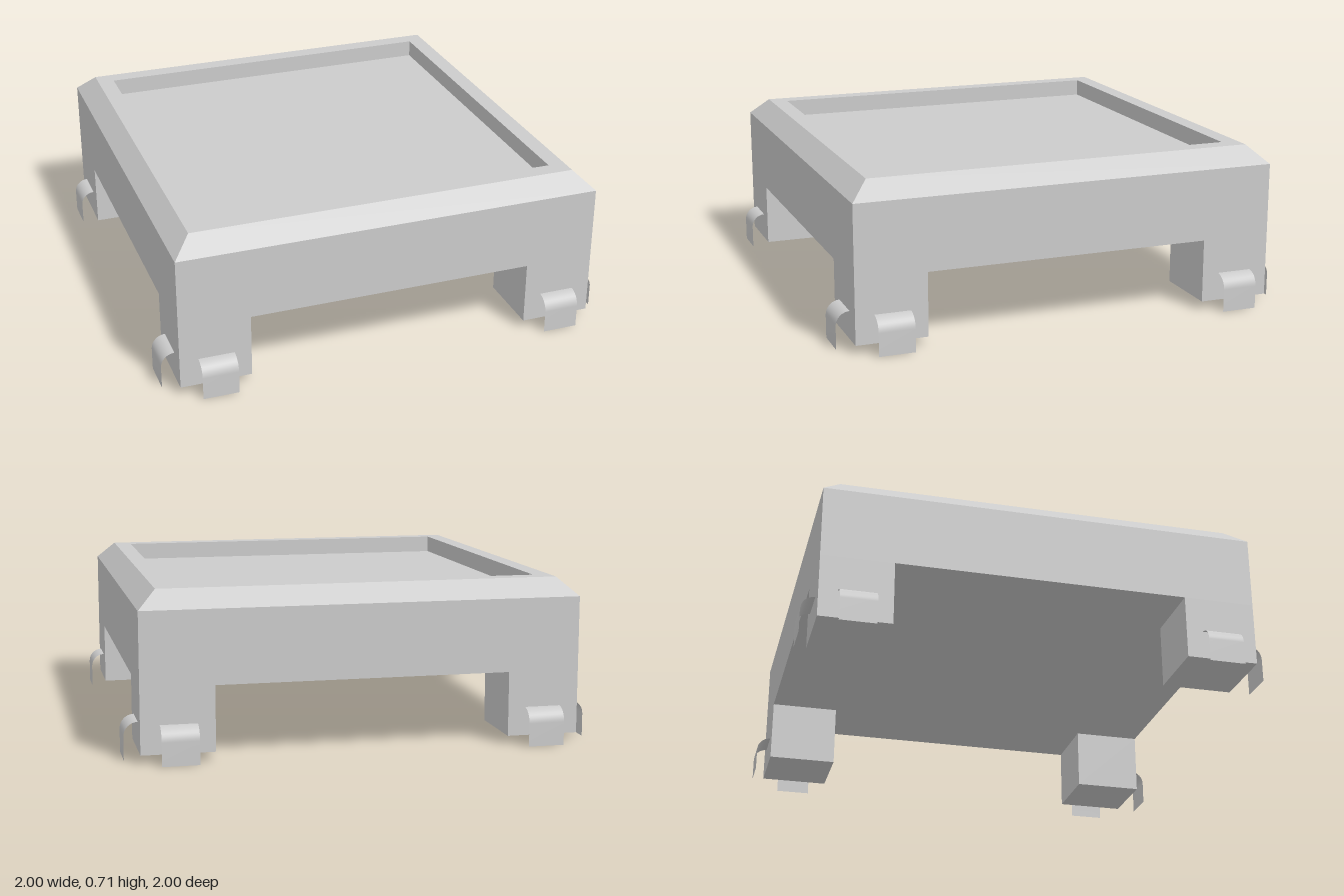
import * as THREE from 'three';

const HALF = 0.94;      // half width of the body
const UNDER = 0.315;    // underside height
const FOOT = 0.31;      // foot width
const FOOT_Y = 0.037;   // foot bottom height

const grey = new THREE.MeshStandardMaterial({ color: 0xcccccc, flatShading: true });
const sheet = new THREE.MeshStandardMaterial({ color: 0xcccccc, side: THREE.DoubleSide });

// Square tray: a four-sided lathe with bevelled rim and sunken top
function makeBody() {
  const profile = [
    [0, UNDER], [HALF, UNDER], [HALF, 0.63], [0.86, 0.707],
    [0.785, 0.707], [0.785, 0.63], [0, 0.63],
  ].map(([half, y]) => new THREE.Vector2(half * Math.SQRT2, y));
  const geometry = new THREE.LatheGeometry(profile, 4, Math.PI / 4).toNonIndexed();
  geometry.computeVertexNormals();
  const body = new THREE.Mesh(geometry, grey);
  body.name = 'trayBody';
  return body;
}

// Thin hook: leaves the foot at the top, bends over and hangs down
function makeClipGeometry() {
  const r = 0.06, steps = 8;
  const profile = [];
  for (let i = 0; i <= steps; i++) {
    const a = (i / steps) * Math.PI / 2;
    profile.push([HALF + r * Math.sin(a), 0.16 - r + r * Math.cos(a)]);
  }
  profile.push([HALF + r, 0]);
  const geometry = new THREE.PlaneGeometry(0.156, 1, 1, profile.length - 1);
  const pos = geometry.attributes.position;
  for (let i = 0; i < pos.count; i++) {
    const [z, y] = profile[Math.floor(i / 2)];
    pos.setXYZ(i, pos.getX(i), y, z);
  }
  geometry.computeVertexNormals();
  return geometry;
}

export function createModel() {
  const model = new THREE.Group();
  model.name = 'squareTray';
  model.add(makeBody());

  // Corner feet
  const footGeometry = new THREE.BoxGeometry(FOOT, UNDER - FOOT_Y, FOOT);
  const offset = HALF - FOOT / 2;
  for (const x of [-1, 1]) {
    for (const z of [-1, 1]) {
      const foot = new THREE.Mesh(footGeometry, grey);
      foot.name = 'cornerFoot';
      foot.position.set(x * offset, (UNDER + FOOT_Y) / 2, z * offset);
      model.add(foot);
    }
  }

  // Two clips on each of the four sides
  const clipGeometry = makeClipGeometry();
  for (let side = 0; side < 4; side++) {
    const pair = new THREE.Group();
    pair.name = 'clipPair';
    pair.rotation.y = side * Math.PI / 2;
    for (const x of [-0.782, 0.782]) {
      const clip = new THREE.Mesh(clipGeometry, sheet);
      clip.name = 'clip';
      clip.position.x = x;
      pair.add(clip);
    }
    model.add(pair);
  }
  return model;
}
